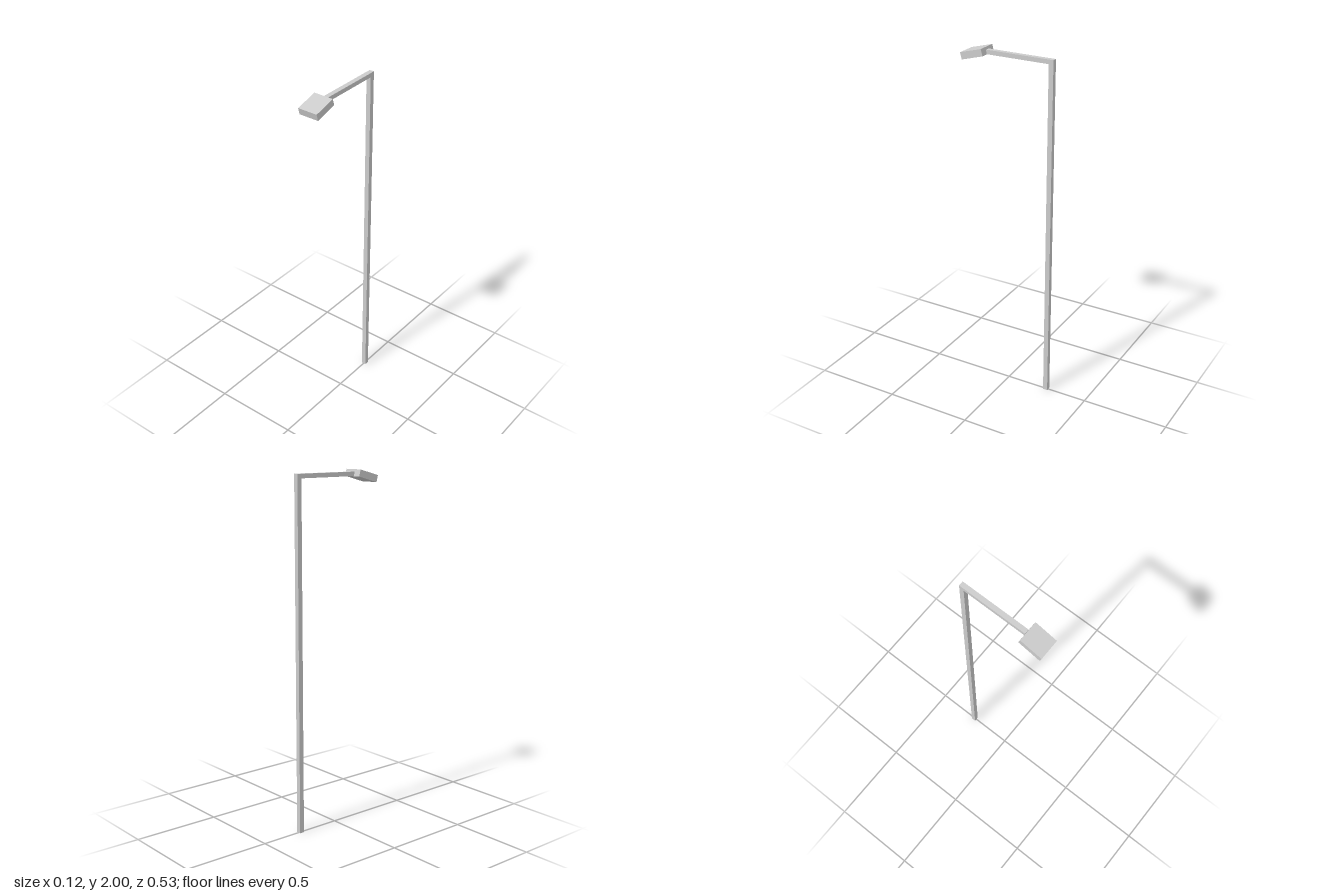
import * as THREE from 'three';

export function createModel() {
  const model = new THREE.Group();
  const material = new THREE.MeshStandardMaterial({ color: 0xcccccc, flatShading: true });

  const addBox = (name, size, position) => {
    const mesh = new THREE.Mesh(new THREE.BoxGeometry(...size), material);
    mesh.name = name;
    mesh.position.set(...position);
    model.add(mesh);
    return mesh;
  };

  const bar = 0.027;        // width of pole and arm
  const armHeight = 0.024;
  const armTop = 1.987;
  const back = -0.264;      // rear face of pole and arm
  const armEnd = 0.131;     // arm tip, just inside the lamp head
  const poleHeight = armTop - armHeight;

  // Upright square pole
  addBox('pole', [bar, poleHeight, bar], [0, poleHeight / 2, back + bar / 2]);

  // Horizontal arm resting on the pole and reaching forward
  addBox('arm', [bar, armHeight, armEnd - back], [0, armTop - armHeight / 2, (armEnd + back) / 2]);

  // Lamp head, tilted down towards the front
  const head = addBox('lampHead', [0.116, 0.039, 0.1315], [0, 1.964, 0.1945]);
  head.rotation.x = THREE.MathUtils.degToRad(15);

  return model;
}
